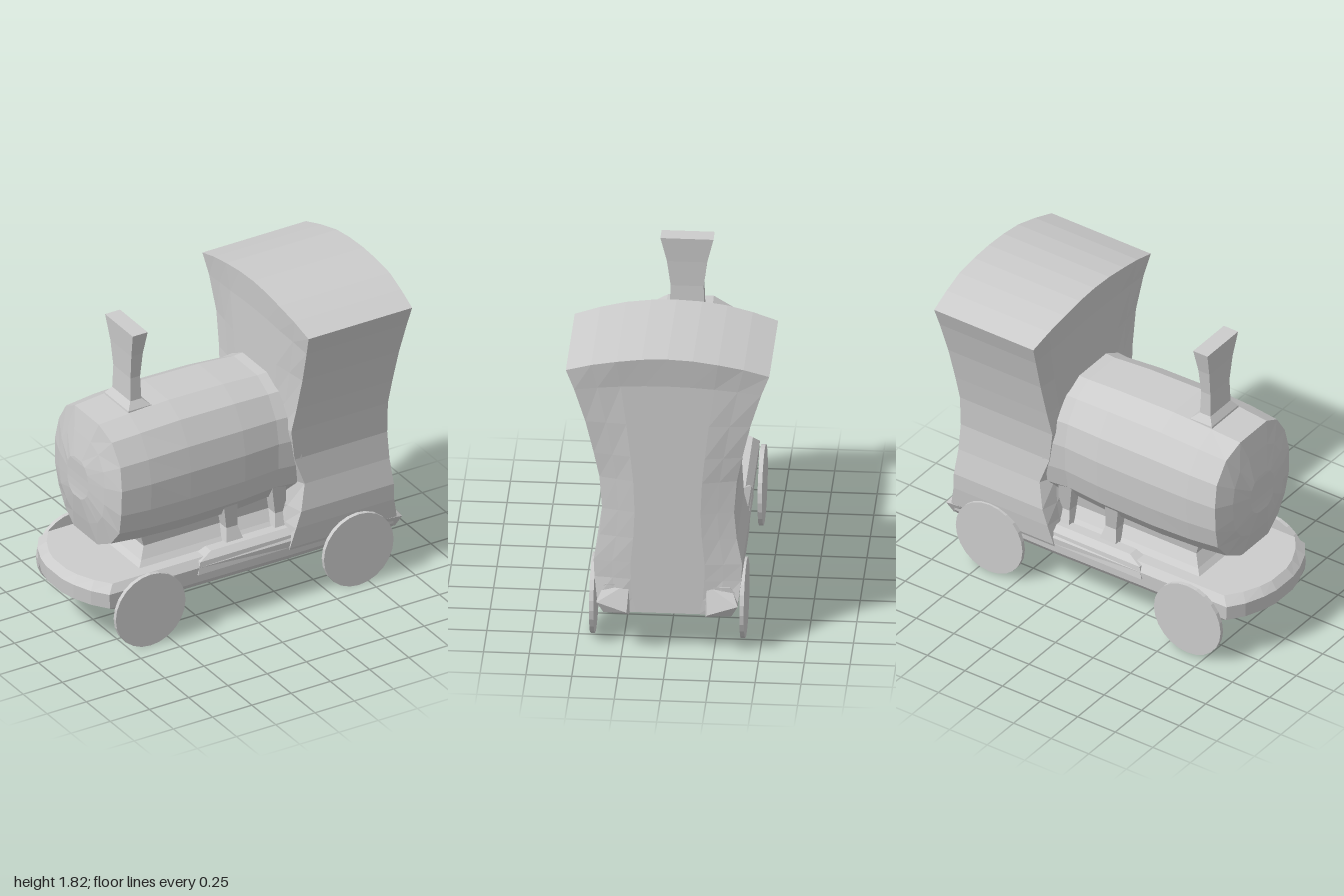
import * as THREE from 'three';
import { ConvexGeometry } from 'three/addons/geometries/ConvexGeometry.js';

const material = new THREE.MeshStandardMaterial({ color: 0xcccccc, flatShading: true });

// Skins a stack of equal-length rings; end caps are zipped across each ring.
function loft(rings) {
  const n = rings[0].length, pos = rings.flat(2), idx = [];
  const quad = (a, b, c, d) => idx.push(a, b, c, a, c, d);
  for (let r = 0; r < rings.length - 1; r++) {
    for (let i = 0; i < n; i++) {
      const j = (i + 1) % n;
      quad(r * n + i, r * n + j, (r + 1) * n + j, (r + 1) * n + i);
    }
  }
  const last = (rings.length - 1) * n;
  for (let i = 0; i < n / 2 - 1; i++) {
    quad(n - 1 - i, n - 2 - i, i + 1, i);
    quad(last + i, last + i + 1, last + n - 2 - i, last + n - 1 - i);
  }
  // Turn the faces outward if the enclosed volume comes out negative.
  const p = k => new THREE.Vector3().fromArray(pos, idx[k] * 3);
  let volume = 0;
  for (let k = 0; k < idx.length; k += 3) volume += p(k).dot(p(k + 1).cross(p(k + 2)));
  if (volume < 0) idx.reverse();
  const g = new THREE.BufferGeometry();
  g.setAttribute('position', new THREE.Float32BufferAttribute(pos, 3));
  g.setIndex(idx);
  g.computeVertexNormals();
  return g;
}

// Rectangular ring at height y, from x0 to x1 and centred on zc.
const rect = (y, x0, x1, hz, zc = 0) =>
  [[x0, y, zc - hz], [x0, y, zc + hz], [x1, y, zc + hz], [x1, y, zc - hz]];

function boilerGeometry() {
  const half = [[0.13, 1.31], [0.25, 1.245], [0.335, 1.12], [0.365, 0.98],
    [0.36, 0.82], [0.33, 0.69], [0.25, 0.59], [0.13, 0.53]];
  const outline = [...half, ...half.map(([z, y]) => [-z, y]).reverse()];
  const cy = 0.92;
  const face = s => outline.map(([z0, y0]) => {
    const z = z0 * s, y = cy + (y0 - cy) * s;
    const x = -0.855 + 0.055 * Math.max(0, Math.abs(y - 0.9) - 0.11) / 0.28 + 0.08 * (z / 0.36) ** 2;
    return [x, y, z];
  });
  const section = (x, sz, sy) => outline.map(([z, y]) => [x, cy + (y - cy) * sy, z * sz]);
  return loft([face(0.3), face(0.65), face(0.96), section(-0.6, 1, 1.0),
    section(-0.35, 1.01, 1.03), section(0, 1, 1.015), section(0.22, 0.96, 0.98), section(0.36, 1, 1)]);
}

function cabGeometry() {
  // height, front corner x, back corner x, half width
  const rows = [[0.25, 0.27, 0.94, 0.345], [0.33, 0.27, 0.95, 0.385], [0.45, 0.3, 0.925, 0.4],
    [0.55, 0.33, 0.92, 0.405], [0.7, 0.37, 0.91, 0.375], [0.86, 0.315, 0.905, 0.36],
    [1.05, 0.285, 0.9, 0.375], [1.2, 0.3, 0.91, 0.405], [1.4, 0.31, 0.925, 0.45],
    [1.6, 0.3, 0.94, 0.51], [1.72, 0.285, 0.945, 0.555]];
  const steps = [-1, -0.75, -0.5, -0.25, 0, 0.25, 0.5, 0.75, 1];
  return loft(rows.map(([y, xf, xb, hz], r) => {
    const top = r === rows.length - 1;
    const mid = { front: top ? 0.268 : 0.28, back: top ? 0.972 : 0.945 };
    const edge = (corner, centre) => steps.map(f => {
      const t = Math.max(0, (Math.abs(f) - 0.5) / 0.5);
      // Upper rows crown progressively into the curved roof.
      const crown = y > 1.5 ? (top ? 0.1 : 0.04) * (1 - f * f) : 0;
      return [centre + (corner - centre) * t, y + crown, f * hz];
    });
    return [...edge(xf, mid.front), ...edge(xb, mid.back).reverse()];
  }));
}

function chassisGeometry() {
  const half = [[-1, 0.08], [-0.98, 0.17], [-0.935, 0.28], [-0.87, 0.37],
    [-0.3, 0.372], [0.28, 0.38], [0.94, 0.375]];
  const ring = (y, inset, frontInset) => {
    const side = half.map(([x, z], i) => [x + (i < 4 ? frontInset : 0), y, z - inset * Math.min(1, z / 0.3)]);
    return [...side, ...side.map(([x, h, z]) => [x, h, -z]).reverse()];
  };
  return loft([ring(0.245, 0.03, 0.07), ring(0.28, 0.005, 0.005), ring(0.37, 0, 0), ring(0.412, 0.035, 0.04)]);
}

export function createModel() {
  const model = new THREE.Group();
  const add = (name, geometry, x = 0, y = 0, z = 0) => {
    const mesh = new THREE.Mesh(geometry, material);
    mesh.name = name;
    mesh.position.set(x, y, z);
    model.add(mesh);
    return mesh;
  };

  add('chassis', chassisGeometry());
  add('boiler', boilerGeometry());
  add('cab', cabGeometry());

  // Waisted pedestal carrying the boiler
  add('pedestal', loft([rect(0.4, -0.63, 0.33, 0.28), rect(0.44, -0.59, 0.33, 0.24),
    rect(0.5, -0.55, 0.33, 0.2), rect(0.62, -0.59, 0.33, 0.22), rect(0.72, -0.63, 0.33, 0.28)]));

  // Flared chimney with a spreading foot
  add('chimney', loft([rect(1.27, -0.61, -0.44, 0.13), rect(1.32, -0.6, -0.455, 0.125),
    rect(1.36, -0.57, -0.5, 0.095), rect(1.5, -0.566, -0.505, 0.09),
    rect(1.65, -0.573, -0.5, 0.11), rect(1.795, -0.585, -0.49, 0.145)]));

  for (const s of [1, -1]) {
    // Struts between boiler and chassis
    for (const [top, foot] of [[-0.07, -0.03], [0.24, 0.28]]) {
      add('strut', loft([rect(0.4, foot - 0.06, foot + 0.06, 0.05, s * 0.26),
        rect(0.5, foot - 0.035, foot + 0.035, 0.04, s * 0.23),
        rect(0.71, top - 0.045, top + 0.045, 0.05, s * 0.27)]));
    }

    // Raised running board along the middle of the chassis
    add('runningBoard', loft([rect(0.33, -0.31, 0.3, 0.05, s * 0.328),
      rect(0.4, -0.29, 0.3, 0.045, s * 0.322), rect(0.428, -0.2, 0.31, 0.03, s * 0.3)]));

    // Flared foot on each rear corner
    add('rearFoot', new ConvexGeometry([
      [0.93, 0.42, 0.21], [0.91, 0.42, 0.34], [0.9, 0.25, 0.2], [0.9, 0.25, 0.34],
      [0.97, 0.245, 0.21], [0.96, 0.25, 0.35], [1, 0.27, 0.22], [0.985, 0.32, 0.385], [0.88, 0.33, 0.385],
    ].map(([x, y, z]) => new THREE.Vector3(x, y, s * z))));

    // Thin disc wheels
    const wheel = new THREE.CylinderGeometry(0.222, 0.222, 0.024, 24).rotateX(Math.PI / 2);
    add('frontWheel', wheel, s > 0 ? -0.63 : -0.64, 0.222, s > 0 ? 0.394 : -0.402);
    add('rearWheel', wheel, 0.68, 0.222, s > 0 ? 0.42 : -0.4);
  }
  return model;
}
